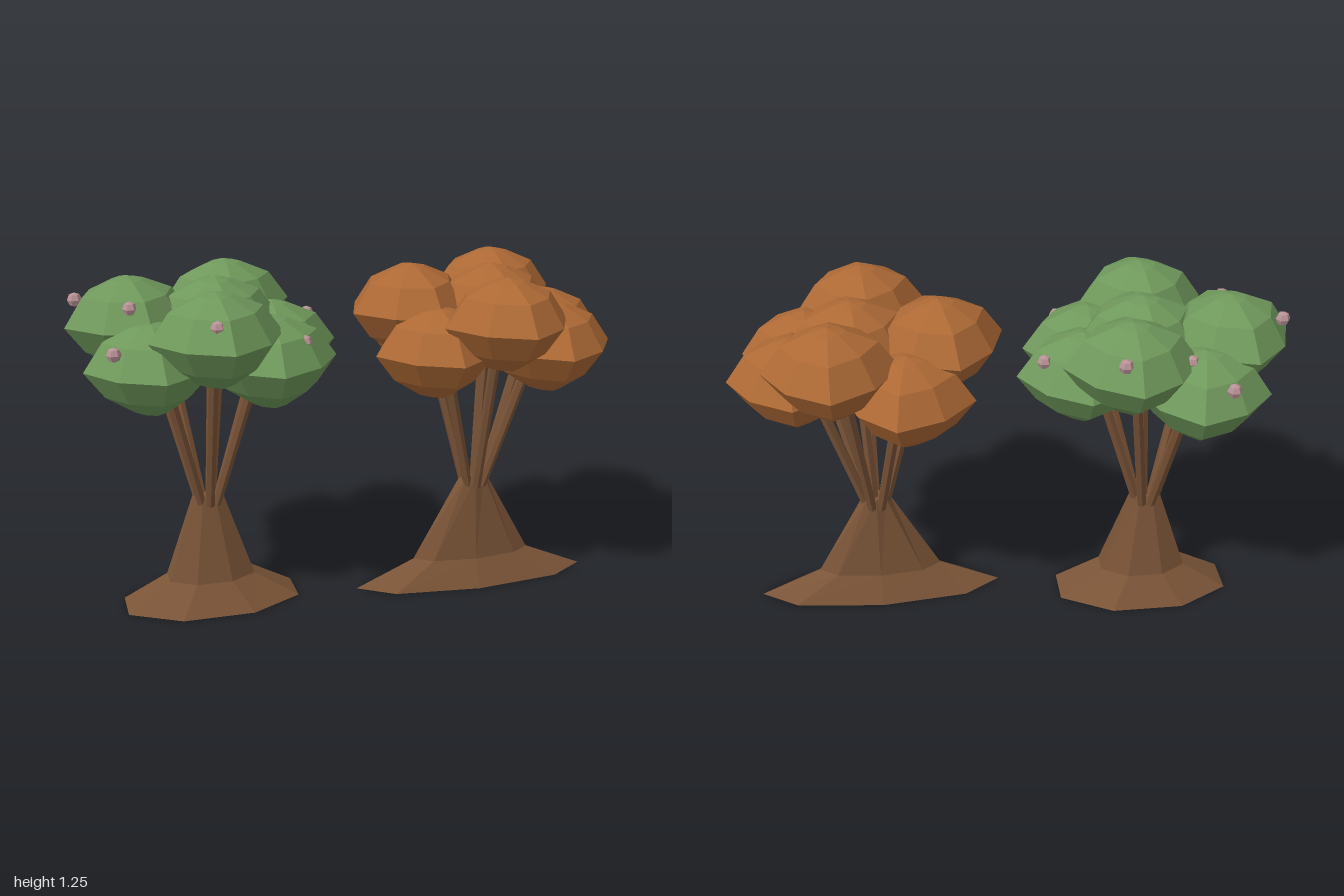
import * as THREE from 'three';

const mat = (name, color) => {
  const m = new THREE.MeshStandardMaterial({ color, flatShading: true });
  m.name = name;
  return m;
};

// Eight-sided faceted leaf clump, pointed along the axes
function clumpGeometry() {
  const profile = [[0, -0.16], [0.065, -0.16], [0.165, -0.095], [0.235, 0], [0.165, 0.1], [0.06, 0.147], [0, 0.16]];
  const geo = new THREE.LatheGeometry(profile.map(([r, y]) => new THREE.Vector2(r, y)), 8);
  const pos = geo.attributes.position;
  for (let i = 0; i < pos.count; i++) {
    const x = pos.getX(i), z = pos.getZ(i);
    const k = 1 - 0.12 * Math.pow(Math.sin(2 * Math.atan2(z, x)), 2);
    pos.setX(i, x * k);
    pos.setZ(i, z * k);
  }
  return geo;
}

// Flared trunk from rings of [y, half width, half depth]
function trunkGeometry(rings, turn) {
  const n = 8, pos = [], index = [];
  const fit = turn ? 1 / Math.cos(Math.PI / n) : 1;
  for (const [y, rx, rz] of rings) {
    for (let i = 0; i < n; i++) {
      const a = (i / n) * Math.PI * 2 + turn;
      pos.push(Math.cos(a) * rx * fit, y, Math.sin(a) * rz * fit);
    }
  }
  for (let r = 0; r < rings.length - 1; r++) {
    for (let i = 0; i < n; i++) {
      const a = r * n + i, b = r * n + (i + 1) % n;
      index.push(a, a + n, b, b, a + n, b + n);
    }
  }
  const top = (rings.length - 1) * n;
  for (let i = 1; i < n - 1; i++) {
    index.push(0, i, i + 1, top, top + i + 1, top + i);
  }
  const geo = new THREE.BufferGeometry();
  geo.setAttribute('position', new THREE.Float32BufferAttribute(pos, 3));
  geo.setIndex(index);
  geo.computeVertexNormals();
  return geo;
}

// Clump centres relative to the tree, with a small turn: x, y, z, turn
const CLUMPS = [
  [-0.25, 1.095, -0.04, 0.25],
  [0.125, 1.095, -0.215, 0.0],
  [0.01, 1.095, 0.265, 0.1],
  [0.05, 1.085, 0.0, 0.1],
  [-0.13, 0.975, -0.215, -0.2],
  [0.26, 0.975, -0.04, 0.0],
  [0.215, 0.975, 0.165, 0.0],
  [-0.2, 0.975, 0.14, 0.1],
];

// Blossom positions relative to the tree
const BLOSSOMS = [
  [-0.195, 1.06, -0.37], [0.175, 1.175, -0.37], [-0.075, 1.11, -0.25],
  [-0.43, 1.17, -0.08], [-0.26, 1.175, 0.115], [-0.335, 1.06, 0.26],
  [-0.01, 1.17, 0.415], [0.16, 1.12, 0.21], [0.315, 1.055, 0.26], [0.405, 1.06, -0.1],
];

export function createModel() {
  const bark = mat('bark brown', 0x7a5437);
  const green = mat('leaf green', 0x6f985b);
  const orange = mat('autumn orange', 0xad6935);
  const pink = mat('blossom pink', 0xb89296);

  const clump = clumpGeometry();
  const bud = new THREE.SphereGeometry(0.026, 6, 4);
  const up = new THREE.Vector3(0, 1, 0);

  function tree(name, leaf, rings, turn, trunkZ) {
    const g = new THREE.Group();
    g.name = name;
    const add = (geo, m, part) => {
      const mesh = new THREE.Mesh(geo, m);
      mesh.name = part;
      g.add(mesh);
      return mesh;
    };
    add(trunkGeometry(rings, turn), bark, 'trunk').position.z = trunkZ;

    for (const [x, y, z, spin] of CLUMPS) {
      const c = add(clump, leaf, 'leafClump');
      c.position.set(x, y, z);
      c.rotation.y = spin;

      // Branch fanning out from the trunk top into the clump
      const start = new THREE.Vector3(x * 0.13, 0.39, z * 0.13 + trunkZ);
      const end = new THREE.Vector3(x * 0.8, y - 0.03, z * 0.8);
      const dir = end.clone().sub(start);
      const branch = add(new THREE.CylinderGeometry(0.021, 0.018, dir.length(), 6), bark, 'branch');
      branch.position.copy(start).addScaledVector(dir, 0.5);
      branch.quaternion.setFromUnitVectors(up, dir.normalize());
    }
    return g;
  }

  const model = new THREE.Group();
  model.name = 'treePair';

  // Blossoming green tree, with a flat-ended root flare
  const greenTree = tree('greenTree', green,
    [[0, 0.322, 0.175], [0.1, 0.16, 0.095], [0.42, 0.055, 0.032]], Math.PI / 8, 0);
  greenTree.position.set(-0.52, 0, -0.06);
  for (const p of BLOSSOMS) {
    const b = new THREE.Mesh(bud, pink);
    b.name = 'blossom';
    b.position.set(...p);
    greenTree.add(b);
  }

  // Autumn tree, with a wide pointed root flare
  const autumnTree = tree('autumnTree', orange,
    [[0, 0.46, 0.122], [0.1, 0.232, 0.066], [0.43, 0.05, 0.037]], 0, 0.01);
  autumnTree.position.set(0.49, 0, 0.01);

  model.add(greenTree, autumnTree);
  return model;
}
